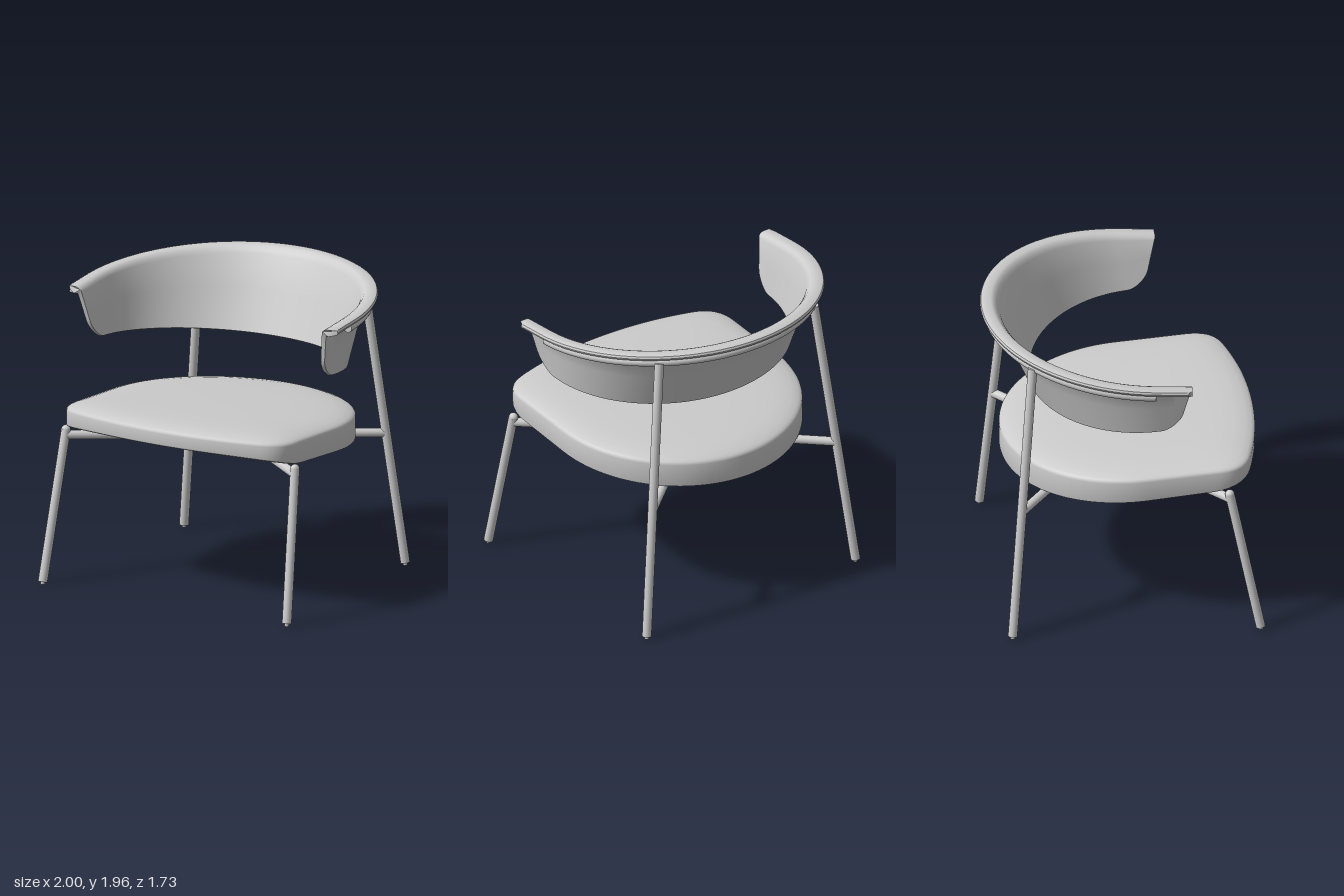
import * as THREE from 'three';
import { toCreasedNormals } from 'three/addons/utils/BufferGeometryUtils.js';

const grey = new THREE.MeshStandardMaterial({ color: 0xcccccc, side: THREE.DoubleSide });
grey.name = 'light grey';

const V = (x, y, z) => new THREE.Vector3(x, y, z);

function mesh(name, geometry) {
  const m = new THREE.Mesh(geometry, grey);
  m.name = name;
  return m;
}

// Skin between closed rings of equal length; capFaces closes both ends
function loft(rings, capFaces = []) {
  const n = rings[0].length;
  const index = [];
  for (let j = 0; j < rings.length - 1; j++) {
    for (let i = 0; i < n; i++) {
      const a = j * n + i, b = j * n + (i + 1) % n;
      index.push(a, a + n, b, b, a + n, b + n);
    }
  }
  const last = (rings.length - 1) * n;
  for (const [a, b, c] of capFaces) index.push(a, b, c, last + a, last + c, last + b);
  const g = new THREE.BufferGeometry().setFromPoints(rings.flat());
  g.setIndex(index);
  return toCreasedNormals(g, 0.6);
}

// Round bar between two points
function rod(name, from, to, radius) {
  const dir = to.clone().sub(from);
  const m = mesh(name, new THREE.CylinderGeometry(radius, radius, dir.length(), 24));
  m.position.copy(from).add(to).multiplyScalar(0.5);
  m.quaternion.setFromUnitVectors(V(0, 1, 0), dir.normalize());
  return m;
}

function ball(name, at, radius) {
  const m = mesh(name, new THREE.SphereGeometry(radius, 24, 12));
  m.position.copy(at);
  return m;
}

// Upholstered seat: round back, straight sides, bowed front, domed top
function buildSeat() {
  const s = new THREE.Shape();
  s.moveTo(0, -0.75);
  s.absarc(0, 0.09, 0.84, -Math.PI / 2, 0, false);
  s.lineTo(0.84, 0.55);
  s.quadraticCurveTo(0.84, 0.72, 0.68, 0.765);
  s.quadraticCurveTo(0.36, 0.86, 0, 0.86);
  s.quadraticCurveTo(-0.36, 0.86, -0.68, 0.765);
  s.quadraticCurveTo(-0.84, 0.72, -0.84, 0.55);
  s.lineTo(-0.84, 0.09);
  s.absarc(0, 0.09, 0.84, Math.PI, Math.PI * 1.5, false);
  const outline = s.getSpacedPoints(120).slice(0, -1);

  const under = z => 0.955 + 0.077 * z + 0.045 * THREE.MathUtils.smoothstep(z, 0.5, 0.86);
  const over = z => 1.12 + 0.056 * z;
  // [scale, height function, height offset]
  const profile = [
    [0, under, 0], [0.4, under, 0], [0.65, under, 0], [0.85, under, 0], [0.985, under, 0],
    [0.997, under, 0.005], [1, under, 0.015], [1, over, -0.02], [0.997, over, -0.009],
    [0.988, over, 0], [0.97, over, 0.008], [0.92, over, 0.022], [0.83, over, 0.033],
    [0.7, over, 0.04], [0.45, over, 0.045], [0.2, over, 0.046], [0, over, 0.046],
  ];
  const rings = profile.map(([k, h, dy]) => outline.map(p => {
    const z = 0.1 + (p.y - 0.1) * k;
    return V(p.x * k, h(z) + dy, z);
  }));
  return mesh('seat', loft(rings));
}

// Wrap-around backrest: tapered shell with an outward lip along the top
function buildBackrest() {
  // [outward offset, share of the way down, height offset]
  const section = [
    [0, 1, 0], [0, 0.5, 0], [0, 0.1, 0], [0.003, 0.04, -0.008], [0.012, 0, -0.008], [0.03, 0, 0],
    [0.08, 0, 0], [0.094, 0, -0.006], [0.1, 0, -0.02], [0.094, 0, -0.034], [0.08, 0, -0.04],
    [0.045, 0, -0.045], [0.032, 0.2, 0], [0.03, 0.5, 0], [0.028, 1, 0], [0.014, 1, -0.006],
  ];
  const ARC = 40, END = 12;
  const rings = [];
  for (let j = -ARC - END; j <= ARC + END; j++) {
    const side = Math.sign(j);
    const theta = side * Math.min(Math.abs(j) / ARC, 1) * Math.PI / 2;
    const a = Math.max(0, Math.abs(j) - ARC) / END * Math.PI / 2;
    const run = Math.sin(a);
    const nx = Math.sin(theta), nz = -Math.cos(theta);
    const top = V(0.9 * nx, 0, 0.12 + 0.89 * nz + 0.24 * run);
    top.y = 1.885 - 0.09 * (top.z + 0.08 * nz);
    const low = V(0.838 * nx, 0, 0.17 + 0.72 * nz + 0.11 * run);
    low.y = 1.485 + 0.077 * low.z;
    const depth = 1 - 0.35 * (1 - Math.cos(a)); // rounded lower front corner
    rings.push(section.map(([n, v, dy]) => {
      const p = top.clone().lerp(low, v * depth);
      const pull = n > 0.09 ? 0.03 * run ** 8 : 0;
      return V(p.x + n * nx, p.y + dy, p.z + n * nz - pull);
    }));
  }
  const flat = section.map(([n, v, dy]) => new THREE.Vector2(n, dy - 0.35 * v));
  return mesh('backrest', loft(rings, THREE.ShapeUtils.triangulateShape(flat, [])));
}

// Bent tube under the backrest lip
function buildRail() {
  const pts = [];
  for (let i = 0; i <= 32; i++) {
    const t = -Math.PI / 2 + Math.PI * i / 32;
    const z = 0.12 - 0.94 * Math.cos(t);
    pts.push(V(0.947 * Math.sin(t), 1.82 - 0.09 * z, z));
  }
  const rail = new THREE.Group();
  rail.name = 'backRail';
  rail.add(mesh('railTube', new THREE.TubeGeometry(new THREE.CatmullRomCurve3(pts), 96, 0.03, 20)));
  // Flat end plugs
  for (const p of [pts[0], pts[32]]) {
    rail.add(rod('railEnd', p, p.clone().add(V(0, 0, 0.006)), 0.03));
  }
  return rail;
}

export function createModel() {
  const chair = new THREE.Group();
  chair.name = 'armchair';
  chair.add(buildSeat(), buildBackrest(), buildRail());

  const R = 0.03;
  for (const s of [1, -1]) {
    const label = s > 0 ? 'left' : 'right';
    const frontTop = V(0.852 * s, 0.985, 0.61), frontFoot = V(0.908 * s, 0.018, 0.8);
    const backTop = V(0.61 * s, 1.875, -0.62), backFoot = V(0.823 * s, 0.018, -0.775);

    // Legs with rounded front tops
    chair.add(rod(label + 'FrontLeg', frontFoot, frontTop, R));
    chair.add(ball(label + 'FrontLegTop', frontTop, R));
    chair.add(rod(label + 'BackLeg', backFoot, backTop, R));

    // Small glides under the legs
    for (const f of [frontFoot, backFoot]) {
      chair.add(rod(label + 'Glide', V(f.x, 0, f.z), V(f.x, 0.03, f.z), 0.014));
    }

    // Diagonal bar from this front leg to the opposite back leg
    chair.add(rod(label + 'CrossBar', V(0.853 * s, 0.95, 0.615), V(-0.723 * s, 0.877, -0.703), 0.029));
  }
  return chair;
}
